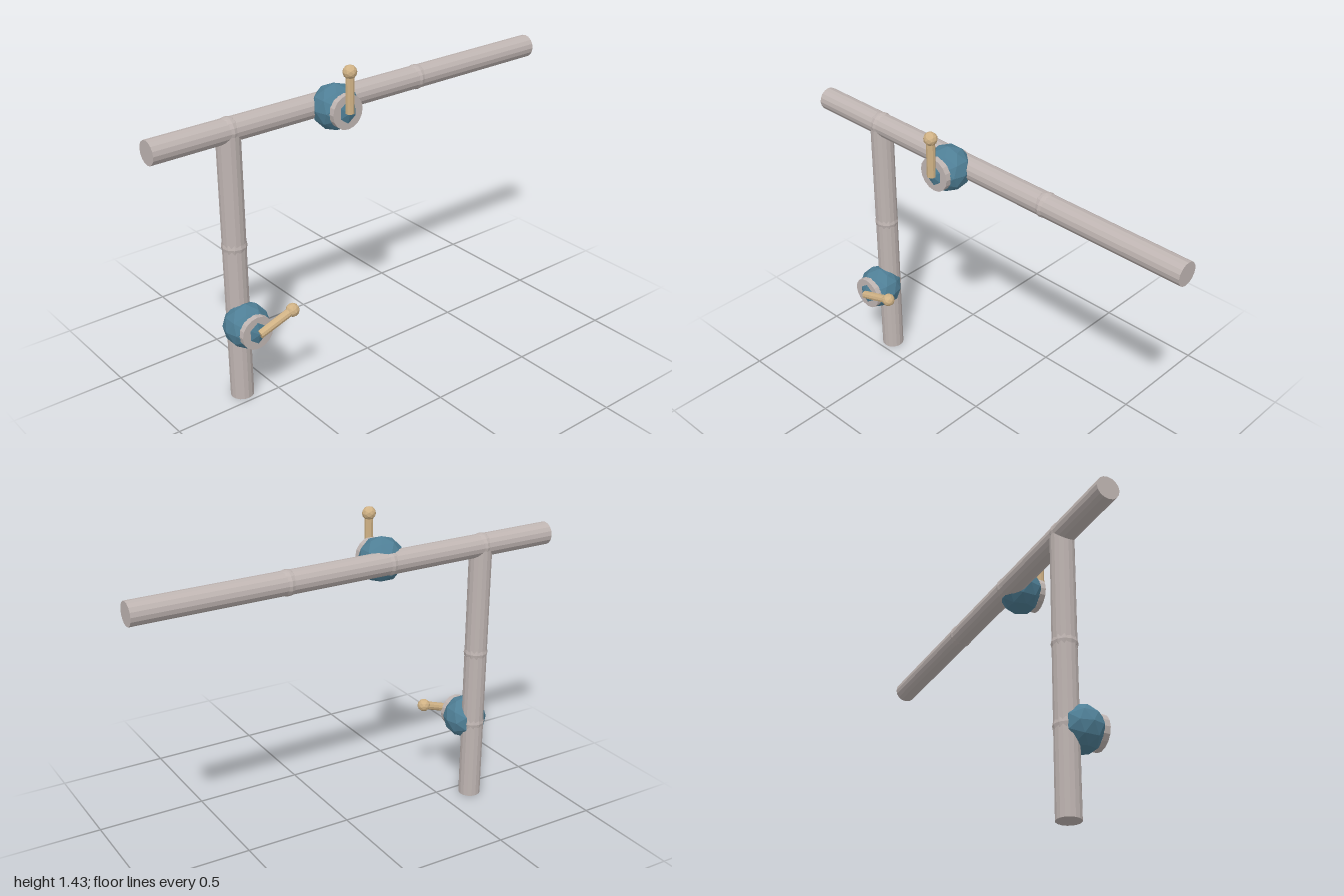
import * as THREE from 'three';

export function createModel() {
  const model = new THREE.Group();
  const material = (name, color) => {
    const m = new THREE.MeshStandardMaterial({ color, flatShading: true });
    m.name = name;
    return m;
  };
  const steel = material('pipe grey', 0xbfb5b2);
  const blue = material('valve blue', 0x4f7f96);
  const brass = material('handle tan', 0xd0b285);

  const add = (parent, name, geometry, mat, x = 0, y = 0, z = 0) => {
    const mesh = new THREE.Mesh(geometry, mat);
    mesh.name = name;
    mesh.position.set(x, y, z);
    parent.add(mesh);
    return mesh;
  };

  const PIPE_Z = -0.068, PIPE_R = 0.051, TOP_Y = 1.23, RISER_X = -0.643, VALVE_X = -0.165;

  // Tee of pipes
  const main = add(model, 'horizontalPipe', new THREE.CylinderGeometry(PIPE_R, PIPE_R, 2, 16), steel, 0, TOP_Y, PIPE_Z);
  main.rotation.z = Math.PI / 2;
  add(model, 'verticalPipe', new THREE.CylinderGeometry(PIPE_R, PIPE_R, TOP_Y, 16), steel, RISER_X, TOP_Y / 2, PIPE_Z);

  // Joint balls that swell slightly through the pipe walls
  const joints = [[RISER_X, TOP_Y], [VALVE_X, TOP_Y], [0.32, TOP_Y], [RISER_X, 0.725], [RISER_X, 0.375]];
  for (const [x, y] of joints) {
    add(model, 'pipeJoint', new THREE.SphereGeometry(0.0545, 12, 8), steel, x, y, PIPE_Z);
  }

  // Valve: faceted body, front collar and a lever with a knob
  const addValve = (name, x, y, leverAngle) => {
    const valve = new THREE.Group();
    valve.name = name;
    valve.position.set(x, y, -0.006);
    add(valve, 'valveBody', new THREE.IcosahedronGeometry(0.1, 1), blue);
    const collar = add(valve, 'valveCollar', new THREE.CylinderGeometry(0.075, 0.075, 0.027, 16), steel, 0, 0, 0.0725);
    collar.rotation.x = Math.PI / 2;

    const lever = new THREE.Group();
    lever.name = 'lever';
    lever.position.z = 0.099;
    lever.rotation.z = leverAngle;
    add(lever, 'leverRod', new THREE.CylinderGeometry(0.019, 0.019, 0.174, 10), brass, 0, 0.087, 0);
    add(lever, 'leverKnob', new THREE.IcosahedronGeometry(0.03, 1), brass, 0, 0.175, 0);
    valve.add(lever);
    model.add(valve);
  };
  addValve('upperValve', VALVE_X, TOP_Y, 0);
  addValve('lowerValve', RISER_X, 0.375, -1.25);

  return model;
}
